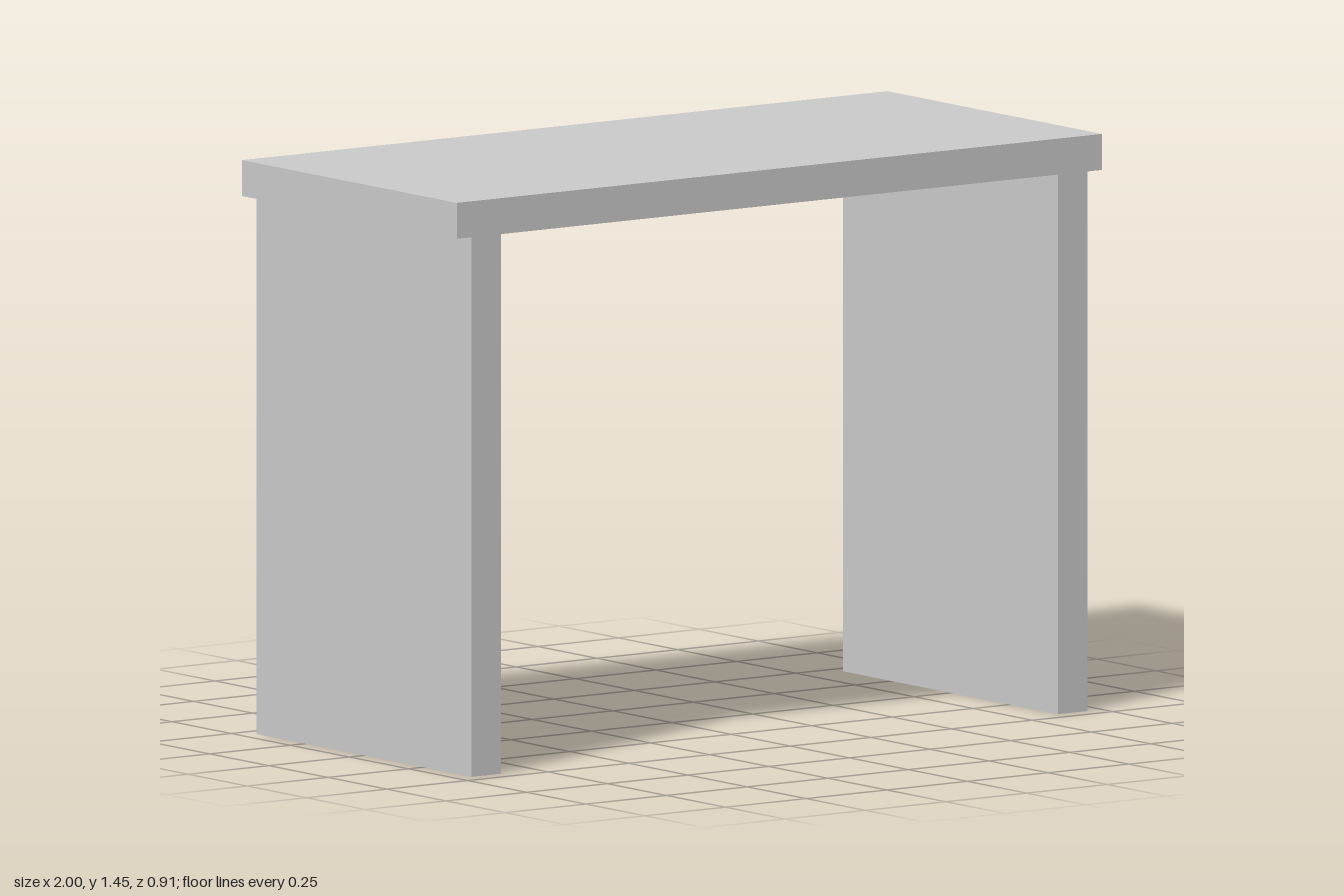
import * as THREE from 'three';

const HEIGHT = 1.4545;
const DEPTH = 0.909;
const UNDERSIDE = 1.3636; // lower face of the top
const LEG_OUT = 0.9545;   // outer face of each leg panel
const LEG_IN = 0.8636;    // inner face of each leg panel

export function createModel() {
  const group = new THREE.Group();
  group.name = 'table';

  // Right half of the front outline, from the top edge to the inner corner
  const half = [
    [1, HEIGHT], [1, UNDERSIDE], [LEG_OUT, UNDERSIDE],
    [LEG_OUT, 0], [LEG_IN, 0], [LEG_IN, UNDERSIDE],
  ];
  const mirrored = half.map(([x, y]) => [-x, y]).reverse();
  const outline = new THREE.Shape([...half, ...mirrored].map(([x, y]) => new THREE.Vector2(x, y)));

  // Top and two panel legs as one solid, extruded through the depth
  const geometry = new THREE.ExtrudeGeometry(outline, { depth: DEPTH, bevelEnabled: false });
  geometry.translate(0, 0, -DEPTH / 2);

  const body = new THREE.Mesh(geometry, new THREE.MeshStandardMaterial({ color: 0xcccccc }));
  body.name = 'tableTopAndLegs';
  group.add(body);
  return group;
}
